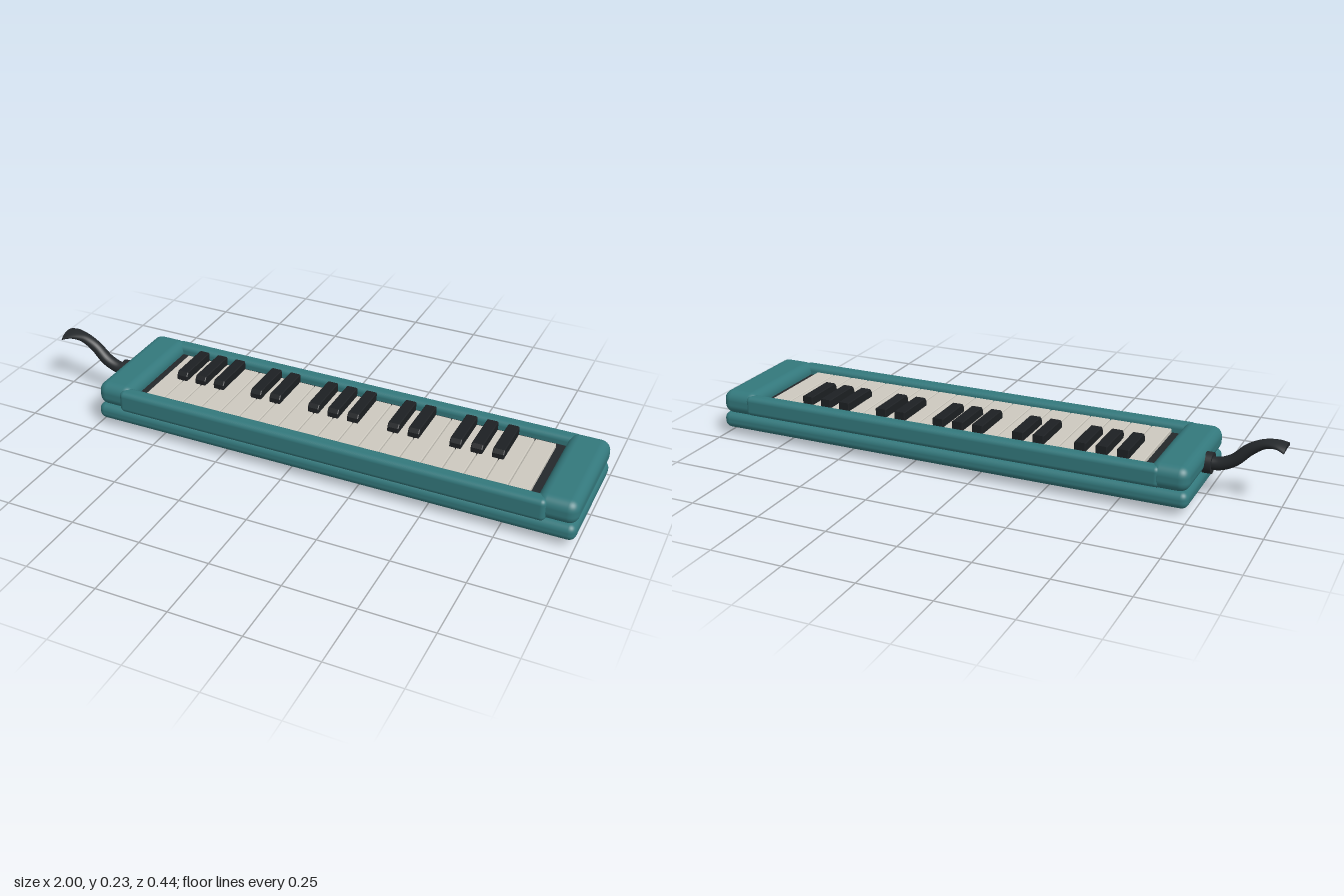
import * as THREE from 'three';
import { RoundedBoxGeometry } from 'three/addons/geometries/RoundedBoxGeometry.js';

const mat = (color) => new THREE.MeshStandardMaterial({ color, side: THREE.DoubleSide });
const teal = mat(0x33787c), dark = mat(0x24282b), ivory = mat(0xcdc9bf), black = mat(0x1d2023);

export function createModel() {
  const model = new THREE.Group();

  const add = (name, geometry, material, x = 0, y = 0, z = 0, parent = model) => {
    const mesh = new THREE.Mesh(geometry, material);
    mesh.name = name;
    mesh.position.set(x, y, z);
    parent.add(mesh);
    return mesh;
  };
  // Rounded box given by its limits on each axis
  const block = (name, [x0, x1], [y0, y1], [z0, z1], r, material, parent = model) =>
    add(name, new RoundedBoxGeometry(x1 - x0, y1 - y0, z1 - z0, 5, r), material,
      (x0 + x1) / 2, (y0 + y1) / 2, (z0 + z1) / 2, parent);

  // Case: lower shell, end caps and the two long rails
  block('lowerShell', [-0.745, 1], [0.027, 0.086], [-0.217, 0.214], 0.025, teal);
  block('rightEndCap', [-0.745, -0.61], [0.082, 0.168], [-0.217, 0.21], 0.035, teal);
  block('leftEndCap', [0.86, 1], [0.082, 0.168], [-0.217, 0.21], 0.035, teal);
  block('frontRail', [-0.65, 0.9], [0.08, 0.16], [0.165, 0.22], 0.018, teal);
  block('backRail', [-0.65, 0.9], [0.088, 0.16], [-0.219, -0.168], 0.018, teal);

  // Dark bed below the keys
  add('keyBed', new THREE.BoxGeometry(1.53, 0.055, 0.39), dark, 0.125, 0.1, -0.003);

  // White keys, with black keys over their joints
  const keys = new THREE.Group();
  keys.name = 'keyboard';
  model.add(keys);
  const start = -0.576, pitch = 0.074, count = 19;
  for (let i = 0; i < count; i++) {
    const x = start + i * pitch;
    block('whiteKey', [x + 0.0015, x + pitch - 0.0015], [0.112, 0.142], [-0.146, 0.163], 0.003, ivory, keys);
  }
  const side = new THREE.Shape();
  side.moveTo(-0.146, 0.13);
  side.lineTo(0.02, 0.13);
  side.lineTo(0.019, 0.158);
  side.lineTo(0.01, 0.17);
  side.lineTo(-0.146, 0.17);
  const blackKey = new THREE.ExtrudeGeometry(side, {
    depth: 0.034, bevelEnabled: true, bevelThickness: 0.003, bevelSize: 0.002, bevelSegments: 1,
  });
  blackKey.translate(0, 0, -0.017);
  blackKey.rotateY(-Math.PI / 2);
  for (const k of [1, 2, 3, 5, 6, 8, 9, 10, 12, 13, 15, 16, 17])
    add('blackKey', blackKey, black, start + k * pitch - 0.003, 0, 0, keys);

  // Feet and small screws under the case
  for (const x of [-0.6, 0.847])
    add('foot', new THREE.CylinderGeometry(0.041, 0.041, 0.03, 32), dark, x, 0.015, 0);
  for (const x of [-0.665, 0.912])
    add('screw', new THREE.CylinderGeometry(0.01, 0.01, 0.008, 16), mat(0x777777), x, 0.026, -0.122);

  // Socket for the mouthpiece
  const collar = add('mouthpieceSocket', new THREE.CylinderGeometry(0.036, 0.036, 0.03, 32), dark, -0.75, 0.113, 0);
  collar.rotation.z = Math.PI / 2;

  add('mouthpiece', mouthpieceGeometry(), dark);
  return model;
}

// Curved tube that widens and flattens toward the lips
function mouthpieceGeometry() {
  const path = new THREE.CatmullRomCurve3([
    [-0.745, 0.113], [-0.79, 0.116], [-0.835, 0.137], [-0.88, 0.18], [-0.925, 0.207], [-0.965, 0.215], [-1, 0.213],
  ].map(([x, y]) => new THREE.Vector3(x, y, 0)));
  // Half width and half thickness along the path
  const sizes = new THREE.CatmullRomCurve3([
    [0.023, 0.023], [0.023, 0.022], [0.024, 0.021], [0.022, 0.02], [0.023, 0.016], [0.033, 0.012], [0.045, 0.009],
  ].map(([w, t]) => new THREE.Vector3(w, t, 0)));
  const rings = 36, sides = 28, position = [], index = [];
  for (let i = 0; i <= rings; i++) {
    const t = i / rings, c = path.getPoint(t), d = path.getTangent(t), s = sizes.getPoint(t);
    for (let j = 0; j < sides; j++) {
      const a = (j / sides) * Math.PI * 2;
      const z = Math.cos(a) * s.x;
      const h = Math.sin(a) * s.y - 5 * z * z * t ** 4;
      position.push(c.x + d.y * h, c.y - d.x * h, z);
      if (i < rings) {
        const p = i * sides + j, q = i * sides + (j + 1) % sides;
        index.push(p, p + sides, q, q, p + sides, q + sides);
      }
    }
  }
  // Close the lip end with its own ring
  const lip = rings * sides, base = position.length / 3;
  for (let j = 0; j < sides; j++) position.push(...position.slice((lip + j) * 3, (lip + j) * 3 + 3));
  const end = path.getPoint(1);
  position.push(end.x, end.y, 0);
  for (let j = 0; j < sides; j++) index.push(base + sides, base + (j + 1) % sides, base + j);
  const geometry = new THREE.BufferGeometry();
  geometry.setAttribute('position', new THREE.Float32BufferAttribute(position, 3));
  // Wind faces outward
  for (let k = 0; k < index.length; k += 3) [index[k + 1], index[k + 2]] = [index[k + 2], index[k + 1]];
  geometry.setIndex(index);
  geometry.computeVertexNormals();
  return geometry;
}
